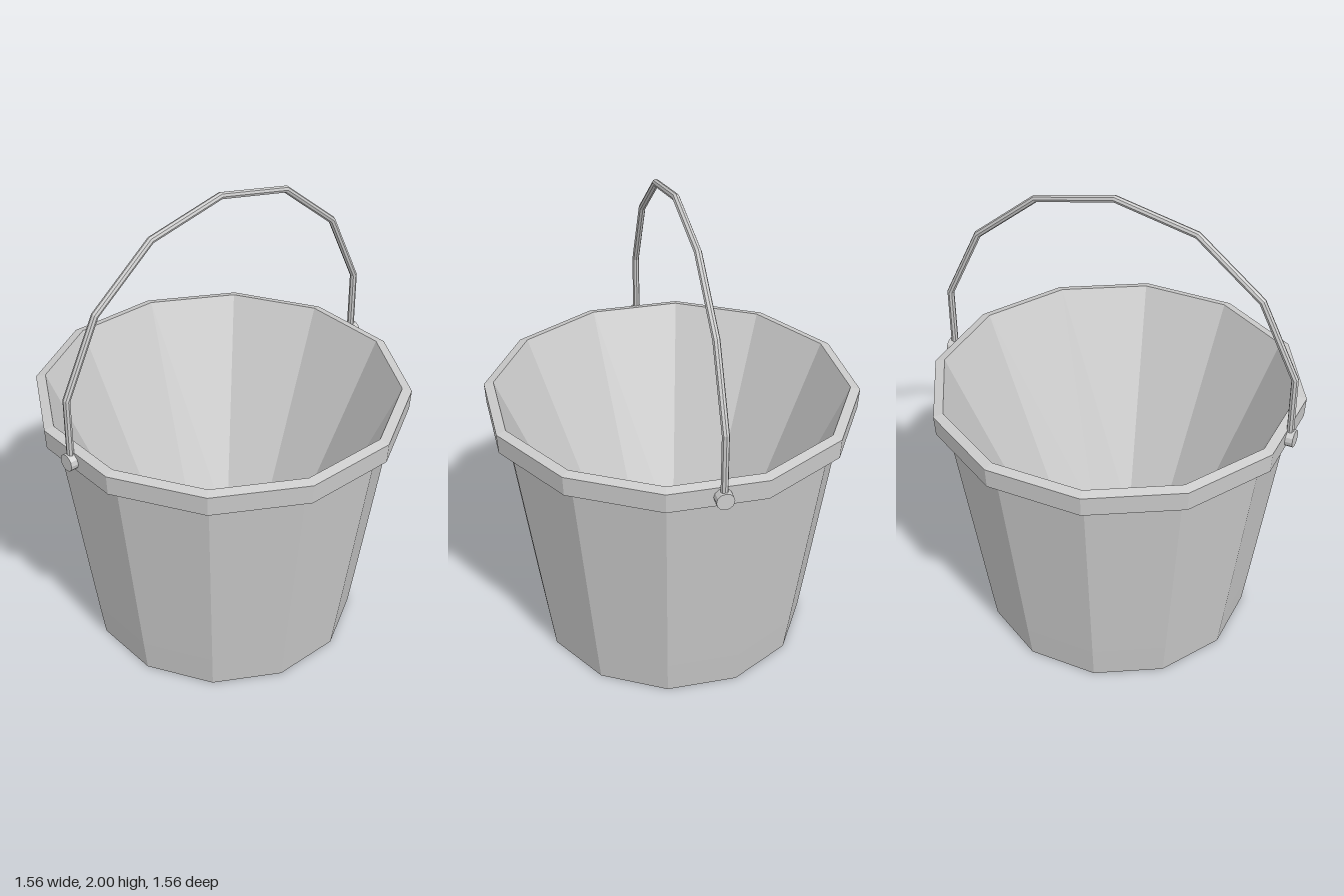
import * as THREE from 'three';

const SIDES = 12;
const material = new THREE.MeshStandardMaterial({ color: 0xcccccc, flatShading: true });

function addMesh(parent, name, geometry) {
  const mesh = new THREE.Mesh(geometry, material);
  mesh.name = name;
  parent.add(mesh);
  return mesh;
}

// Twelve-sided shell from [radius, height] pairs
function shell(profile) {
  return new THREE.LatheGeometry(profile.map(([r, y]) => new THREE.Vector2(r, y)), SIDES);
}

// Straight-segment path with mitred corners at evenly spaced parameters
class Polyline extends THREE.Curve {
  constructor(points) {
    super();
    this.points = points;
  }
  getPoint(t, target = new THREE.Vector3()) {
    const last = this.points.length - 1;
    const i = Math.min(Math.floor(t * last), last - 1);
    return target.lerpVectors(this.points[i], this.points[i + 1], t * last - i);
  }
  getPointAt(t, target) { return this.getPoint(t, target); }
  getTangentAt(t, target) { return this.getTangent(t, target); }
}

export function createModel() {
  const bucket = new THREE.Group();
  bucket.name = 'bucket';

  // Tapered outer wall with closed base
  addMesh(bucket, 'outerWall', shell([[0, 0], [0.575, 0], [0.597, 0.15], [0.725, 1.06]]));

  // Overhanging rim band with a slightly sloping top
  addMesh(bucket, 'rim', shell([[0.725, 1.06], [0.775, 1.06], [0.78, 1.145], [0.74, 1.155]]));

  // Steep inner cone down to the small floor
  addMesh(bucket, 'innerWall', shell([[0.74, 1.155], [0.31, 0.15], [0, 0.15]]));

  // Bail handle, swung slightly round the vertical axis
  const handle = new THREE.Group();
  handle.name = 'handle';
  handle.position.z = -0.017;
  handle.rotation.y = THREE.MathUtils.degToRad(15);
  bucket.add(handle);

  const half = [[0.765, 1.1], [0.765, 1.38], [0.613, 1.69], [0.342, 1.91]];
  const path = [
    ...half.map(([x, y]) => new THREE.Vector3(-x, y, 0)),
    new THREE.Vector3(0, 1.985, 0),
    ...half.map(([x, y]) => new THREE.Vector3(x, y, 0)).reverse(),
  ];
  addMesh(handle, 'handleBar', new THREE.TubeGeometry(new Polyline(path), path.length - 1, 0.015, 8));

  // Round pivots at both ends of the handle
  for (const side of [-1, 1]) {
    const pivot = addMesh(handle, side > 0 ? 'leftPivot' : 'rightPivot',
      new THREE.CylinderGeometry(0.036, 0.036, 0.044, 12));
    pivot.rotation.z = Math.PI / 2;
    pivot.position.set(side * 0.765, 1.103, 0);
  }

  return bucket;
}
